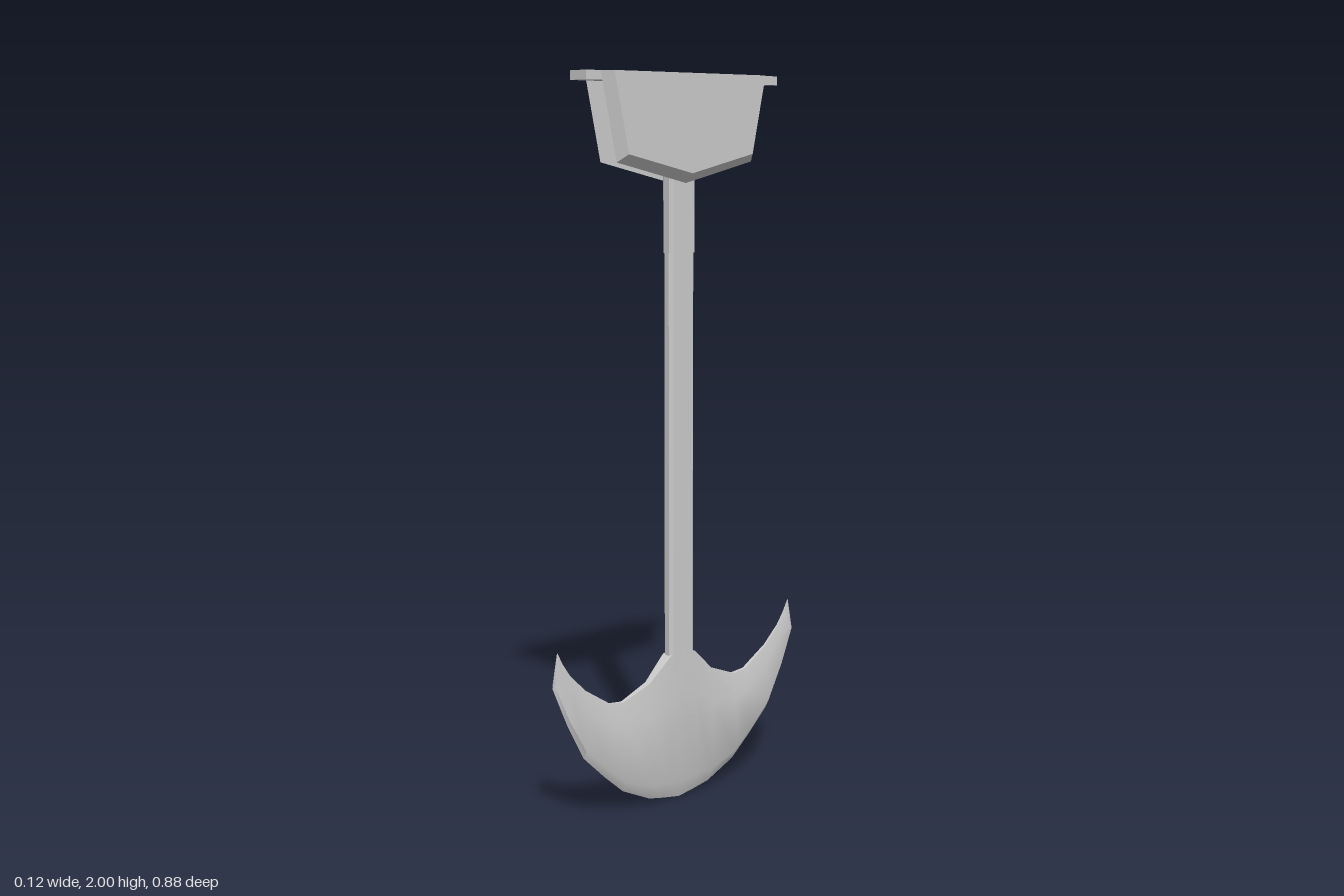
import * as THREE from 'three';
import { toCreasedNormals } from 'three/addons/utils/BufferGeometryUtils.js';

const material = new THREE.MeshStandardMaterial({ color: 0xcccccc });

function part(name, geometry) {
  const mesh = new THREE.Mesh(geometry, material);
  mesh.name = name;
  return mesh;
}

const polygon = (points) => new THREE.Shape(points.map(([x, y]) => new THREE.Vector2(x, y)));

// Chamfered bar standing between two heights
function bar(halfX, halfZ, y0, y1) {
  const cx = halfX * 0.5, cz = halfZ - 0.009;
  const outline = polygon([
    [halfX, -cz], [halfX, cz], [cx, halfZ], [-cx, halfZ],
    [-halfX, cz], [-halfX, -cz], [-cx, -halfZ], [cx, -halfZ],
  ]);
  const g = new THREE.ExtrudeGeometry(outline, { depth: y1 - y0, bevelEnabled: false });
  g.rotateX(-Math.PI / 2).translate(0, y0, 0);
  return g;
}

// Housing side plate: its outer face is smaller than its inner face
function plate() {
  const outline = polygon([[-0.287, 2], [-0.237, 1.77], [0, 1.715], [0.237, 1.77], [0.287, 2]]);
  const g = new THREE.ExtrudeGeometry(outline, { depth: 0.027, bevelEnabled: false });
  const p = g.attributes.position;
  for (let i = 0; i < p.count; i++) {
    if (p.getZ(i) > 0.01) p.setXY(i, p.getX(i) * 0.92, 2 - (2 - p.getY(i)) * 0.91);
  }
  g.translate(0, 0, 0.033);
  g.computeVertexNormals();
  return g;
}

// Crescent blade lofted from tip to tip, sharp along its lower edge
function blade() {
  // inner z, inner y, outer z, outer y, half thickness, inner edge half width
  const half = [
    [0, 0.44, 0, 0, 0.019, 0.018],
    [0.045, 0.42, 0.06, 0.01, 0.019, 0.017],
    [0.115, 0.355, 0.11, 0.02, 0.019, 0.01],
    [0.205, 0.32, 0.205, 0.065, 0.018, 0.006],
    [0.25, 0.325, 0.27, 0.122, 0.016, 0.005],
    [0.335, 0.38, 0.34, 0.19, 0.012, 0.004],
    [0.385, 0.43, 0.395, 0.295, 0.009, 0.003],
    [0.408, 0.465, 0.442, 0.405, 0.006, 0.002],
    [0.425, 0.5, 0.426, 0.498, 0.0005, 0.0003],
  ];
  const mirrored = half.slice(1).reverse().map(([iz, iy, oz, oy, t, w]) => [-iz, iy, -oz, oy, t, w]);
  const sections = [...mirrored, ...half];
  const positions = [], index = [], n = 7;
  for (const [iz, iy, oz, oy, t, w] of sections) {
    // ring: position from outer to inner edge, then x
    const ring = [[0, 0], [0.12, t], [0.72, t], [1, w], [1, -w], [0.72, -t], [0.12, -t]];
    for (const [f, x] of ring) positions.push(x, oy + (iy - oy) * f, oz + (iz - oz) * f);
  }
  for (let i = 0; i < sections.length - 1; i++) {
    for (let j = 0; j < n; j++) {
      const a = i * n + j, b = i * n + (j + 1) % n;
      index.push(a, b, b + n, a, b + n, a + n);
    }
  }
  const last = (sections.length - 1) * n;
  for (let j = 1; j < n - 1; j++) index.push(0, j + 1, j, last, last + j, last + j + 1);
  const g = new THREE.BufferGeometry();
  g.setAttribute('position', new THREE.Float32BufferAttribute(positions, 3));
  g.setIndex(index);
  return toCreasedNormals(g, 0.7);
}

export function createModel() {
  const model = new THREE.Group();
  model.name = 'pendulumBlade';

  // Ceiling housing: top strip and two plates with an open slot between
  const housing = new THREE.Group();
  housing.name = 'housing';
  housing.position.z = 0.004;
  const strip = part('topStrip', new THREE.BoxGeometry(0.066, 0.024, 0.668));
  strip.position.y = 1.988;
  housing.add(strip);
  for (const side of [1, -1]) {
    const p = part(side > 0 ? 'leftPlate' : 'rightPlate', plate());
    p.rotation.y = side * Math.PI / 2;
    housing.add(p);
  }
  model.add(housing);

  // Swinging arm
  model.add(part('upperShaft', bar(0.022, 0.045, 1.53, 1.94)));
  model.add(part('lowerShaft', bar(0.018, 0.044, 0.38, 1.53)));
  model.add(part('blade', blade()));
  return model;
}
